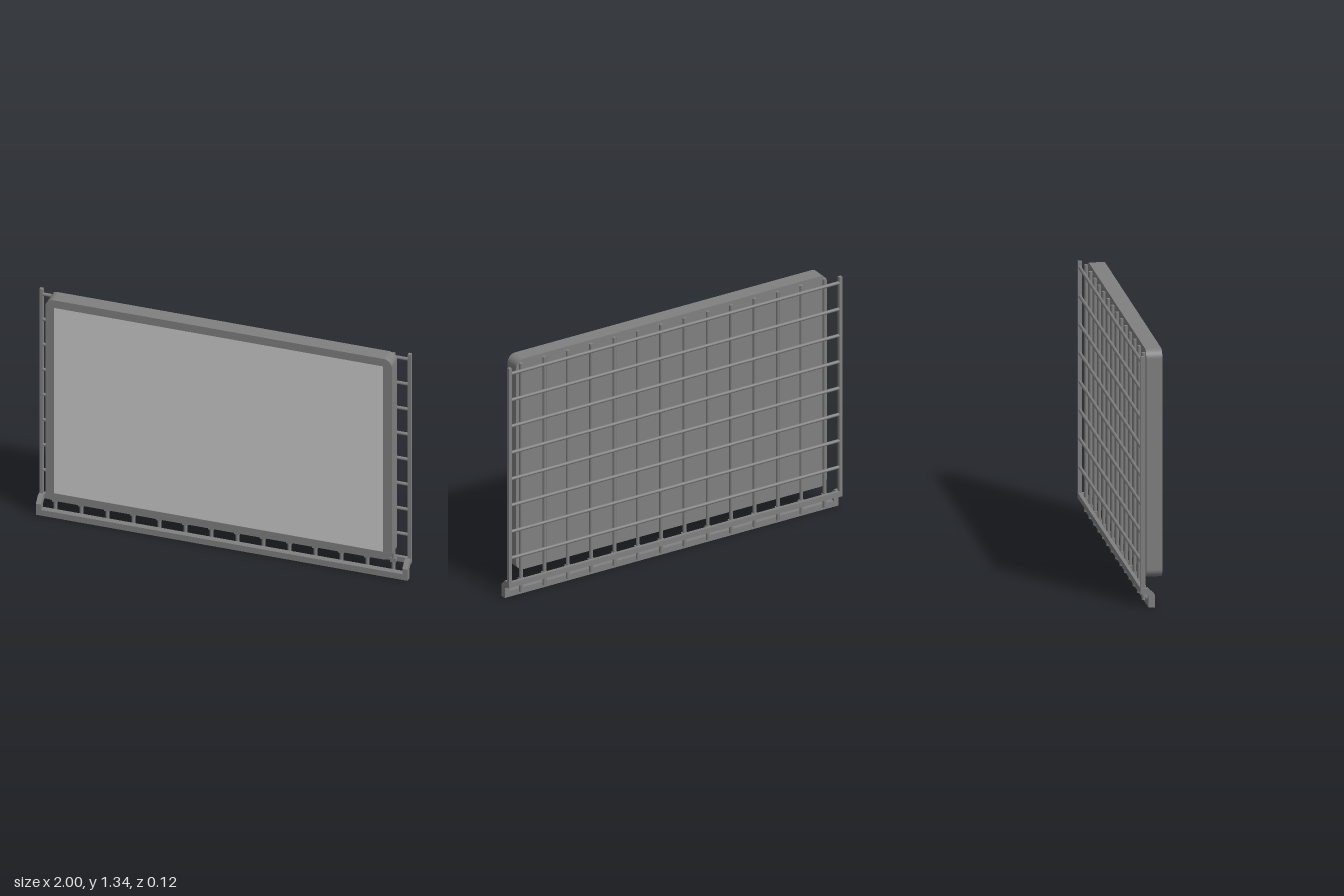
import * as THREE from 'three';

const grey = new THREE.MeshStandardMaterial({ color: 0xcccccc });
const dark = new THREE.MeshStandardMaterial({ color: 0x808080 });

// Rectangle with rounded corners, centred on the origin
function roundedRect(w, h, r) {
  const s = new THREE.Shape();
  const x = w / 2 - r, y = h / 2 - r;
  s.absarc(x, y, r, 0, Math.PI / 2);
  s.absarc(-x, y, r, Math.PI / 2, Math.PI);
  s.absarc(-x, -y, r, Math.PI, Math.PI * 1.5);
  s.absarc(x, -y, r, Math.PI * 1.5, Math.PI * 2);
  s.closePath();
  return s;
}

export function createModel() {
  const model = new THREE.Group();
  model.name = 'screenOnWireGrid';

  const add = (name, geometry, x, y, z, material = dark) => {
    const mesh = new THREE.Mesh(geometry, material);
    mesh.name = name;
    mesh.position.set(x, y, z);
    model.add(mesh);
    return mesh;
  };
  // Box given by its limits on each axis
  const box = (name, x0, x1, y0, y1, z0, z1, material) =>
    add(name, new THREE.BoxGeometry(x1 - x0, y1 - y0, z1 - z0),
      (x0 + x1) / 2, (y0 + y1) / 2, (z0 + z1) / 2, material);

  // Display: solid housing, raised bezel ring and the lit panel
  const outline = { w: 1.864, h: 1.2, r: 0.045, y: 0.735 };
  const housing = new THREE.ExtrudeGeometry(roundedRect(outline.w, outline.h, outline.r),
    { depth: 0.079, bevelEnabled: false, curveSegments: 8 });
  add('housing', housing, 0, outline.y, -0.02);

  const ring = roundedRect(outline.w, outline.h, outline.r);
  const hw = 0.886, hh = 0.555;
  ring.holes.push(new THREE.Path([
    new THREE.Vector2(-hw, -hh), new THREE.Vector2(-hw, hh),
    new THREE.Vector2(hw, hh), new THREE.Vector2(hw, -hh),
  ]));
  add('bezel', new THREE.ExtrudeGeometry(ring, { depth: 0.004, bevelEnabled: false, curveSegments: 8 }),
    0, outline.y, 0.059);
  box('screen', -hw, hw, outline.y - hh, outline.y + hh, 0.055, 0.061, grey);

  // Horizontal wires behind the display
  const across = new THREE.CylinderGeometry(0.009, 0.009, 1.98, 10).rotateZ(Math.PI / 2);
  for (let i = 0; i < 8; i++) add('horizontalWire', across, 0, 0.237 + i * 0.15, -0.051);

  // Vertical wires, each clipped to the lower rail
  const wireHeight = 1.3;
  const upright = new THREE.CylinderGeometry(0.01, 0.01, wireHeight, 10);
  for (let i = 0; i < 14; i++) {
    const x = -0.91 + i * 0.14;
    add('verticalWire', upright, x, 0.02 + wireHeight / 2, -0.031);
    box('wireClip', x - 0.015, x + 0.015, 0.073, 0.097, -0.042, -0.021);
  }

  // Lower rail and bottom bar
  box('lowerRail', -0.99, 0.99, 0.072, 0.1, -0.06, -0.041);
  box('bottomBar', -0.99, 0.99, 0, 0.034, -0.02, 0.013);

  // Side posts and the cranked brackets that join rail and bar
  const profile = [[-0.013, 0], [0.02, 0], [0.02, 0.056], [0.034, 0.07],
    [0.06, 0.07], [0.06, 0.1], [0.02, 0.1], [-0.013, 0.066]];
  const crank = new THREE.ExtrudeGeometry(
    new THREE.Shape(profile.map(([a, b]) => new THREE.Vector2(a, b))),
    { depth: 0.028, bevelEnabled: false });
  crank.translate(0, 0, -0.014).rotateY(Math.PI / 2);
  for (const side of [-1, 1]) {
    add('endBracket', crank, side * 0.986, 0, 0);
    add('sidePost', new THREE.BoxGeometry(0.017, 1.23, 0.019), side * 0.9905, 0.705, -0.0505);
  }
  return model;
}
